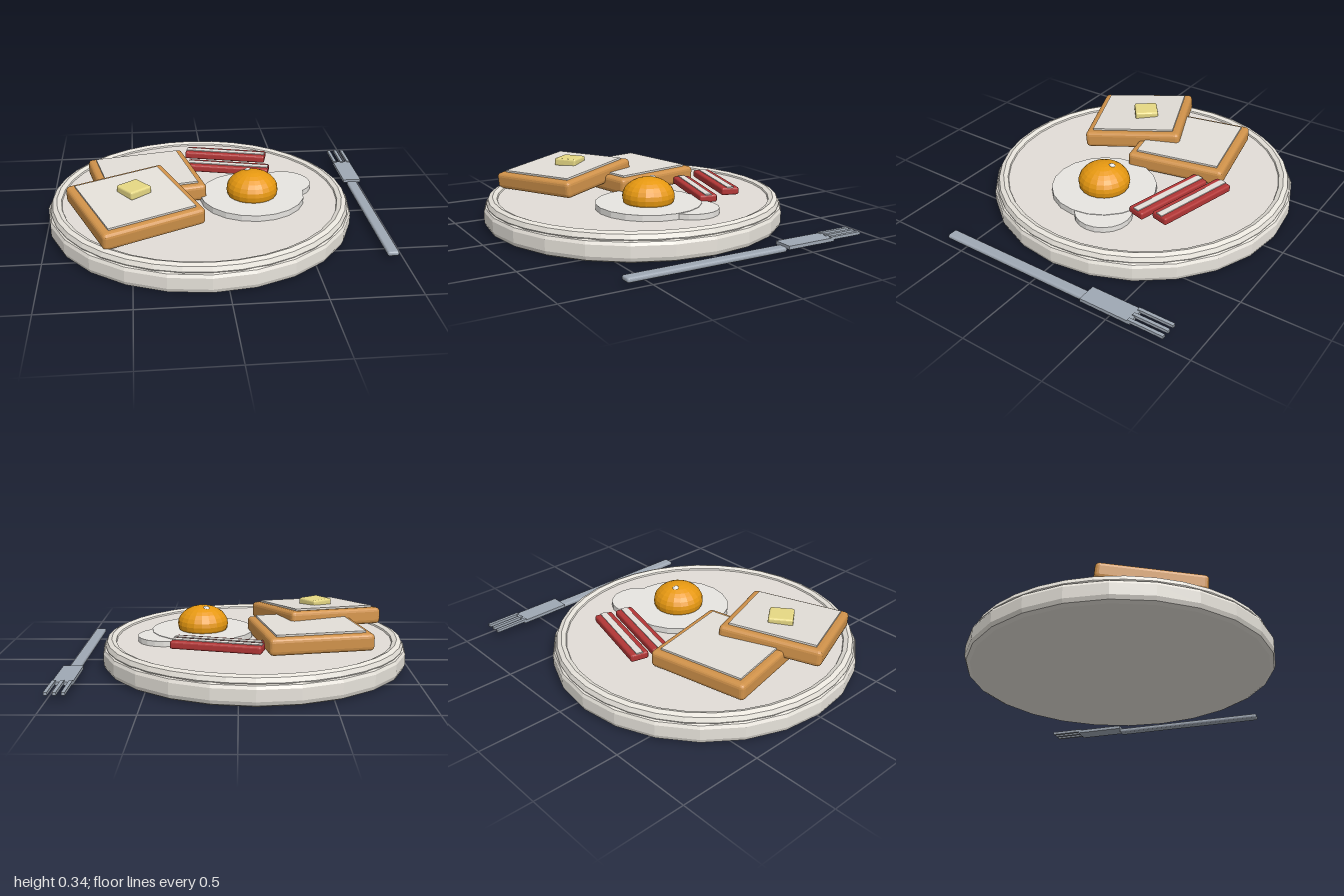
import * as THREE from 'three';
import { RoundedBoxGeometry } from 'three/addons/geometries/RoundedBoxGeometry.js';

function material(name, color) {
  const m = new THREE.MeshStandardMaterial({ color, flatShading: true });
  m.name = name;
  return m;
}

export function createModel() {
  const mats = {
    plate: material('plate glaze', 0xe8e4dc),
    floor: material('plate centre', 0xe2ddd7),
    crust: material('crust', 0xd0924a),
    crumb: material('bread crumb', 0xe3dfd8),
    eggWhite: material('egg white', 0xe8e6e2),
    yolk: material('yolk', 0xf2a012),
    butter: material('butter', 0xe6d884),
    bacon: material('bacon', 0xb23636),
    fat: material('bacon fat', 0xe4dfda),
    metal: material('fork metal', 0x9fa8b4),
  };

  const model = new THREE.Group();
  model.name = 'breakfastPlate';

  const add = (parent, name, geometry, mat, x = 0, y = 0, z = 0) => {
    const mesh = new THREE.Mesh(geometry, mat);
    mesh.name = name;
    mesh.position.set(x, y, z);
    parent.add(mesh);
    return mesh;
  };
  const group = (name, x, y, z) => {
    const g = new THREE.Group();
    g.name = name;
    g.position.set(x, y, z);
    model.add(g);
    return g;
  };

  // Plate: turned body, rounded rim and flat centre
  const plate = group('plate', -0.09, 0, 0);
  const profile = [[0, 0], [0.875, 0], [0.898, 0.012], [0.907, 0.035], [0.907, 0.1], [0.898, 0.118], [0.875, 0.13], [0, 0.13]]
    .map(([r, y]) => new THREE.Vector2(r, y));
  add(plate, 'plateBody', new THREE.LatheGeometry(profile, 24), mats.plate);
  const rim = add(plate, 'plateRim', new THREE.TorusGeometry(0.852, 0.037, 8, 36), mats.plate, 0, 0.129, 0);
  rim.rotation.x = Math.PI / 2;
  add(plate, 'plateCentre', new THREE.CylinderGeometry(0.83, 0.83, 0.02, 36), mats.floor, 0, 0.136, 0);

  // Toast: crust slab with a thin crumb face on top
  function toast(name, x, y, z, tilt, turn) {
    const slice = group(name, x, y, z);
    slice.rotation.set(tilt, turn, 0);
    add(slice, 'crust', new RoundedBoxGeometry(0.61, 0.1, 0.6, 2, 0.025), mats.crust);
    add(slice, 'crumbFace', new THREE.BoxGeometry(0.52, 0.02, 0.51), mats.crumb, 0, 0.051, 0);
  }
  toast('backToast', -0.41, 0.205, -0.14, 0, 0.207);
  toast('frontToast', -0.48, 0.235, 0.28, 0.095, 0.4);

  // Butter pat
  const butter = add(model, 'butter', new RoundedBoxGeometry(0.145, 0.05, 0.145, 2, 0.012), mats.butter, -0.48, 0.312, 0.24);
  butter.rotation.y = 0.65;

  // Fried egg
  const egg = group('friedEgg', 0.22, 0, 0.07);
  add(egg, 'eggWhite', new THREE.CylinderGeometry(0.31, 0.31, 0.04, 20), mats.eggWhite, 0, 0.161, 0);
  add(egg, 'eggWhiteLobe', new THREE.CylinderGeometry(0.165, 0.165, 0.036, 20), mats.eggWhite, 0.215, 0.16, -0.15);
  const yolk = add(egg, 'yolk', new THREE.SphereGeometry(0.153, 20, 14), mats.yolk, 0, 0.215, 0);
  yolk.scale.y = 0.72;
  add(egg, 'yolkHighlight', new THREE.SphereGeometry(0.023, 10, 8), mats.eggWhite, -0.022, 0.306, -0.04);

  // Bacon strips, each with a stripe of fat
  [[0.213, -0.47], [0.188, -0.315]].forEach(([y, z], i) => {
    const strip = group('baconStrip' + (i + 1), 0.117, y, z);
    strip.rotation.y = -0.25;
    add(strip, 'baconMeat', new RoundedBoxGeometry(0.52, 0.045, 0.108, 2, 0.012), mats.bacon);
    add(strip, 'baconFat', new THREE.BoxGeometry(0.51, 0.009, 0.04), mats.fat, 0, 0.0225, 0);
  });

  // Fork
  const fork = group('fork', 0.942, 0, 0);
  add(fork, 'forkHandle', new RoundedBoxGeometry(0.066, 0.028, 0.97, 2, 0.012), mats.metal, 0, 0.032, 0.14);
  add(fork, 'forkHead', new THREE.BoxGeometry(0.113, 0.02, 0.31), mats.metal, 0, 0.049, -0.492);
  for (const x of [-0.046, 0, 0.046]) {
    add(fork, 'forkTine', new THREE.BoxGeometry(0.02, 0.017, 0.21), mats.metal, x, 0.057, -0.735);
  }

  return model;
}
